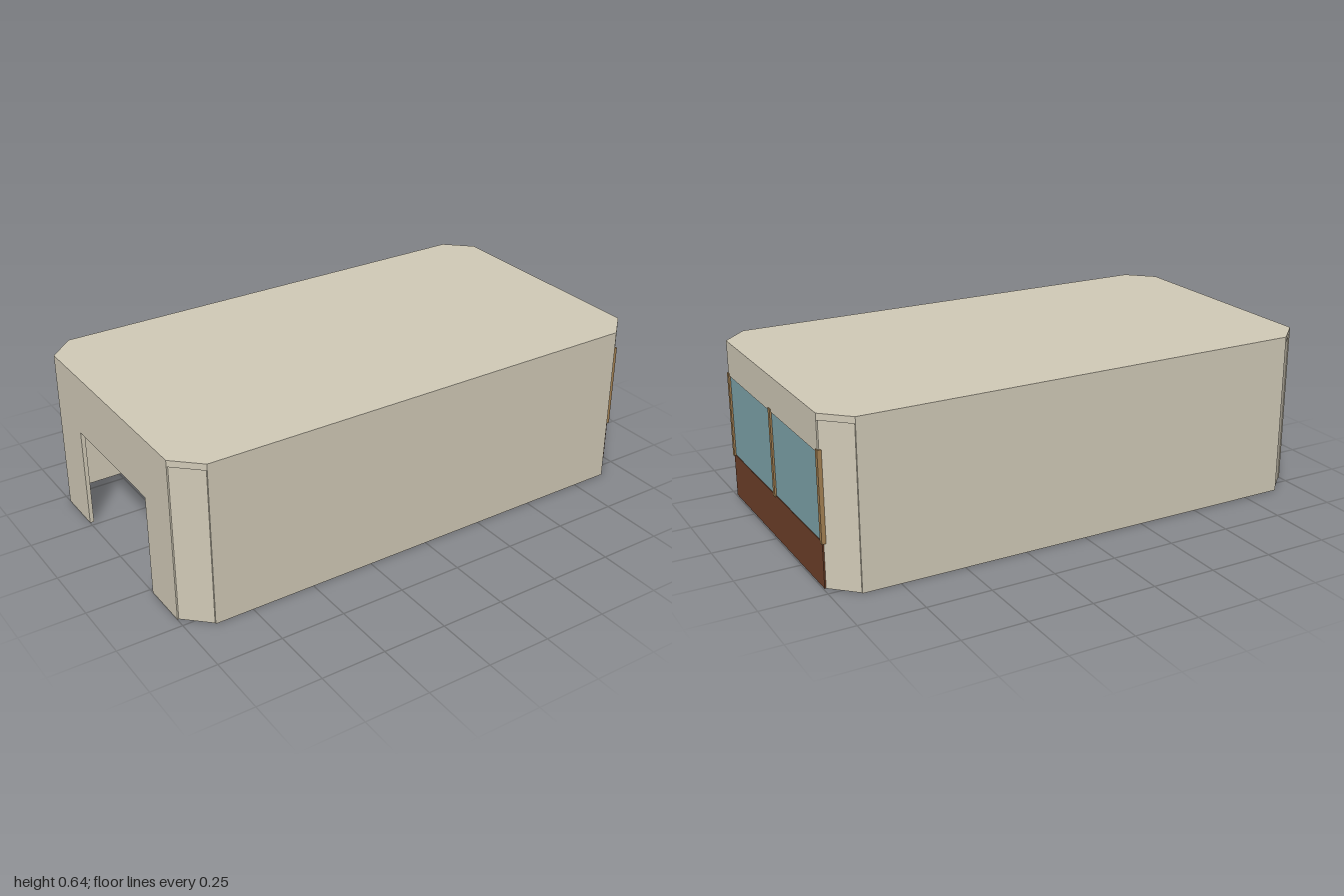
import * as THREE from 'three';

const mat = (name, color) => {
  const m = new THREE.MeshStandardMaterial({ color });
  m.name = name;
  return m;
};

export function createModel() {
  const cream = mat('cream wall', 0xd1cab7);
  const wood = mat('red brown wood', 0x6e4029);
  const darkWood = mat('dark wood', 0x5c3624);
  const tan = mat('tan post', 0xa58254);
  const glass = mat('blue glass', 0x7ea5ac);
  const slate = mat('slate', 0x6c858e);
  const green = mat('pool green', 0x84aaa0);
  const white = mat('white ceramic', 0xdcd6ca);

  const root = new THREE.Group();
  const add = (name, geo, m, x = 0, y = 0, z = 0, parent = root) => {
    const mesh = new THREE.Mesh(geo, m);
    mesh.name = name;
    mesh.position.set(x, y, z);
    parent.add(mesh);
    return mesh;
  };
  // box given by its minimum and maximum corners
  const span = (name, m, x0, x1, y0, y1, z0, z1, parent = root) =>
    add(name, new THREE.BoxGeometry(x1 - x0, y1 - y0, z1 - z0), m,
      (x0 + x1) / 2, (y0 + y1) / 2, (z0 + z1) / 2, parent);
  const group = (name, x, y, z) => {
    const g = new THREE.Group();
    g.name = name;
    g.position.set(x, y, z);
    root.add(g);
    return g;
  };
  // plan shape raised along y
  const slab = (shape, h) => new THREE.ExtrudeGeometry(shape, { depth: h, bevelEnabled: false, curveSegments: 8 })
    .rotateX(-Math.PI / 2);
  const roundRect = (C, hx, hz, r) => {
    const s = new C();
    s.moveTo(hx, -hz + r).lineTo(hx, hz - r);
    s.absarc(hx - r, hz - r, r, 0, Math.PI / 2);
    s.absarc(-hx + r, hz - r, r, Math.PI / 2, Math.PI);
    s.absarc(-hx + r, -hz + r, r, Math.PI, Math.PI * 1.5);
    s.absarc(hx - r, -hz + r, r, Math.PI * 1.5, Math.PI * 2);
    return s;
  };

  // roof with chamfered corners
  const L = -1, R = 0.996, Z = 0.555, T = 0.016;
  const plan = [[L, -0.46], [L + 0.1, -Z], [R - 0.1, -Z], [R, -0.46], [R, 0.46], [R - 0.1, Z], [L + 0.1, Z], [L, 0.46]];
  add('roof', slab(new THREE.Shape(plan.map(p => new THREE.Vector2(...p))), 0.025), cream, 0, 0.617, 0);

  // long walls and corner panels, with a narrow joint between them
  for (const s of [-1, 1]) {
    span('longWall', cream, L + 0.1, R - 0.1, 0, 0.62, s > 0 ? Z - T : -Z, s > 0 ? Z : -Z + T);
    for (const e of [-1, 1]) {
      const corner = add('cornerPanel', new THREE.BoxGeometry(0.13, 0.618, T), cream,
        (e > 0 ? R - 0.05 : L + 0.05) - e * 0.008, 0.309, s * 0.499);
      corner.rotation.y = s > 0 ? e * 0.76 : Math.PI - e * 0.76;
    }
  }

  // entrance wall with a wide doorway
  const door = new THREE.Shape([[-0.46, 0], [-0.27, 0], [-0.27, 0.4], [0.27, 0.4], [0.27, 0], [0.46, 0],
    [0.46, 0.62], [-0.46, 0.62]].map(p => new THREE.Vector2(...p)));
  add('entranceWall', new THREE.ExtrudeGeometry(door, { depth: T, bevelEnabled: false }).rotateY(Math.PI / 2), cream, L, 0, 0);

  // window wall
  span('windowSill', wood, R - T, R, 0, 0.175, -0.46, 0.46);
  span('windowGlass', glass, R - 0.012, R - 0.003, 0.175, 0.502, -0.46, 0.46);
  span('windowHeader', cream, R - T, R, 0.502, 0.62, -0.46, 0.46);
  for (const z of [-0.457, 0, 0.457])
    span('windowPost', tan, R - 0.02, 1, 0.17, 0.513, z - 0.009, z + 0.009);

  // bathing pool: curb, ledge, deck and oval basin
  const pool = group('pool', 0.43, 0, 0);
  const ring = (hx, hz, r, w) => {
    const s = roundRect(THREE.Shape, hx, hz, r);
    s.holes.push(roundRect(THREE.Path, hx - w, hz - w, r - w));
    return s;
  };
  add('outerCurb', slab(ring(0.41, 0.4, 0.1, 0.01), 0.08), cream, 0, 0.045, 0, pool);
  add('ledge', slab(ring(0.41, 0.4, 0.1, 0.065), 0.012), cream, 0, 0.12, 0, pool);
  add('innerCurb', slab(ring(0.355, 0.345, 0.07, 0.01), 0.08), cream, 0, 0.045, 0, pool);
  const deck = roundRect(THREE.Shape, 0.325, 0.27, 0.04);
  deck.holes.push(new THREE.Path().absellipse(0, 0, 0.275, 0.225, 0, Math.PI * 2));
  add('deck', slab(deck, 0.012), slate, 0.015, 0.05, 0, pool);
  const side = add('basinSide', new THREE.CylinderGeometry(1, 0.97, 0.052, 40, 1, true), glass, 0.015, 0.032, 0, pool);
  side.scale.set(0.29, 1, 0.24);
  glass.side = THREE.DoubleSide;
  const base = add('basinFloor', new THREE.CylinderGeometry(0.97, 0.97, 0.006, 40), green, 0.015, 0.006, 0, pool);
  base.scale.set(0.29, 1, 0.24);
  for (const [x, z] of [[0.2, 0], [-0.17, 0], [0.015, 0.16], [0.015, -0.16]])
    span('basinSeat', slate, x - 0.035, x + 0.035, 0.001, 0.02, z - 0.03, z + 0.03, pool);
  const spout = new THREE.CatmullRomCurve3([[0, 0.06, -0.29], [0, 0.16, -0.29], [0, 0.18, -0.26], [0, 0.15, -0.22]]
    .map(p => new THREE.Vector3(...p)));
  add('spout', new THREE.TubeGeometry(spout, 12, 0.007, 8), tan, -0.05, 0, 0, pool);

  // washroom corner, open towards the pool
  const room = group('washroom', 0, 0, 0);
  span('washroomEndWall', cream, -0.7, -0.465, 0, 0.62, 0.038, 0.05, room);
  span('washroomDoorWall', cream, -0.7, -0.688, 0, 0.62, -0.25, 0.038, room);
  span('washroomDoorWall', cream, -0.7, -0.688, 0, 0.62, -0.54, -0.42, room);
  span('washroomDoorHeader', cream, -0.7, -0.688, 0.38, 0.62, -0.42, -0.25, room);
  for (const z of [-0.42, -0.262])
    span('doorFrame', wood, -0.706, -0.682, 0, 0.38, z, z + 0.012, room);
  span('showerTray', white, -0.67, -0.47, 0, 0.015, -0.25, 0.015, room);
  span('showerScreen', glass, -0.687, -0.682, 0.08, 0.3, -0.15, -0.03, room);
  const hose = new THREE.CatmullRomCurve3([[-0.61, 0.2, 0.03], [-0.61, 0.34, 0.03], [-0.61, 0.37, 0.01], [-0.61, 0.35, -0.02]]
    .map(p => new THREE.Vector3(...p)));
  add('showerPipe', new THREE.TubeGeometry(hose, 12, 0.004, 6), darkWood, 0, 0, 0, room);
  add('showerKnob', new THREE.SphereGeometry(0.01, 10, 8), darkWood, -0.61, 0.2, 0.028, room);
  add('toiletBowl', new THREE.CylinderGeometry(0.045, 0.026, 0.09, 16), white, -0.44, 0.05, -0.34, room);
  add('toiletSeat', new THREE.CylinderGeometry(0.05, 0.05, 0.012, 16), white, -0.44, 0.1, -0.34, room);
  span('toiletTank', white, -0.49, -0.39, 0.08, 0.2, -0.45, -0.4, room);

  // writing cabinet against the front wall
  const cabinet = group('cabinet', 0, 0, 0);
  span('cabinetBody', wood, -0.39, -0.25, 0, 0.2, 0.37, 0.538, cabinet);
  span('cabinetTop', wood, -0.4, -0.16, 0.2, 0.212, 0.47, 0.538, cabinet);

  // round stool
  const stool = group('stool', -0.37, 0, 0.3);
  add('stoolSeat', new THREE.CylinderGeometry(0.058, 0.052, 0.02, 16), darkWood, 0, 0.1, 0, stool);
  for (let i = 0; i < 4; i++) {
    const a = Math.PI / 4 + i * Math.PI / 2;
    const leg = add('stoolLeg', new THREE.CylinderGeometry(0.008, 0.008, 0.1, 6), darkWood,
      Math.cos(a) * 0.035, 0.05, Math.sin(a) * 0.035, stool);
    leg.rotation.set(-Math.sin(a) * 0.25, 0, Math.cos(a) * 0.25);
  }

  // armchair facing the stool
  const chair = group('armchair', -0.64, 0, 0.37);
  span('chairSeat', wood, -0.055, 0.055, 0.065, 0.085, -0.055, 0.055, chair);
  span('chairCushion', glass, -0.045, 0.05, 0.085, 0.097, -0.045, 0.045, chair);
  span('chairBack', wood, -0.065, -0.05, 0.065, 0.19, -0.055, 0.055, chair);
  for (const s of [-1, 1]) {
    span('chairArm', wood, -0.055, 0.05, 0.125, 0.138, s * 0.055 - 0.008, s * 0.055 + 0.008, chair);
    span('chairRunner', darkWood, -0.06, 0.06, 0, 0.012, s * 0.05 - 0.007, s * 0.05 + 0.007, chair);
    for (const x of [-0.045, 0.04])
      span('chairLeg', darkWood, x - 0.006, x + 0.006, 0.01, x > 0 ? 0.125 : 0.065, s * 0.05 - 0.006, s * 0.05 + 0.006, chair);
  }
  return root;
}
